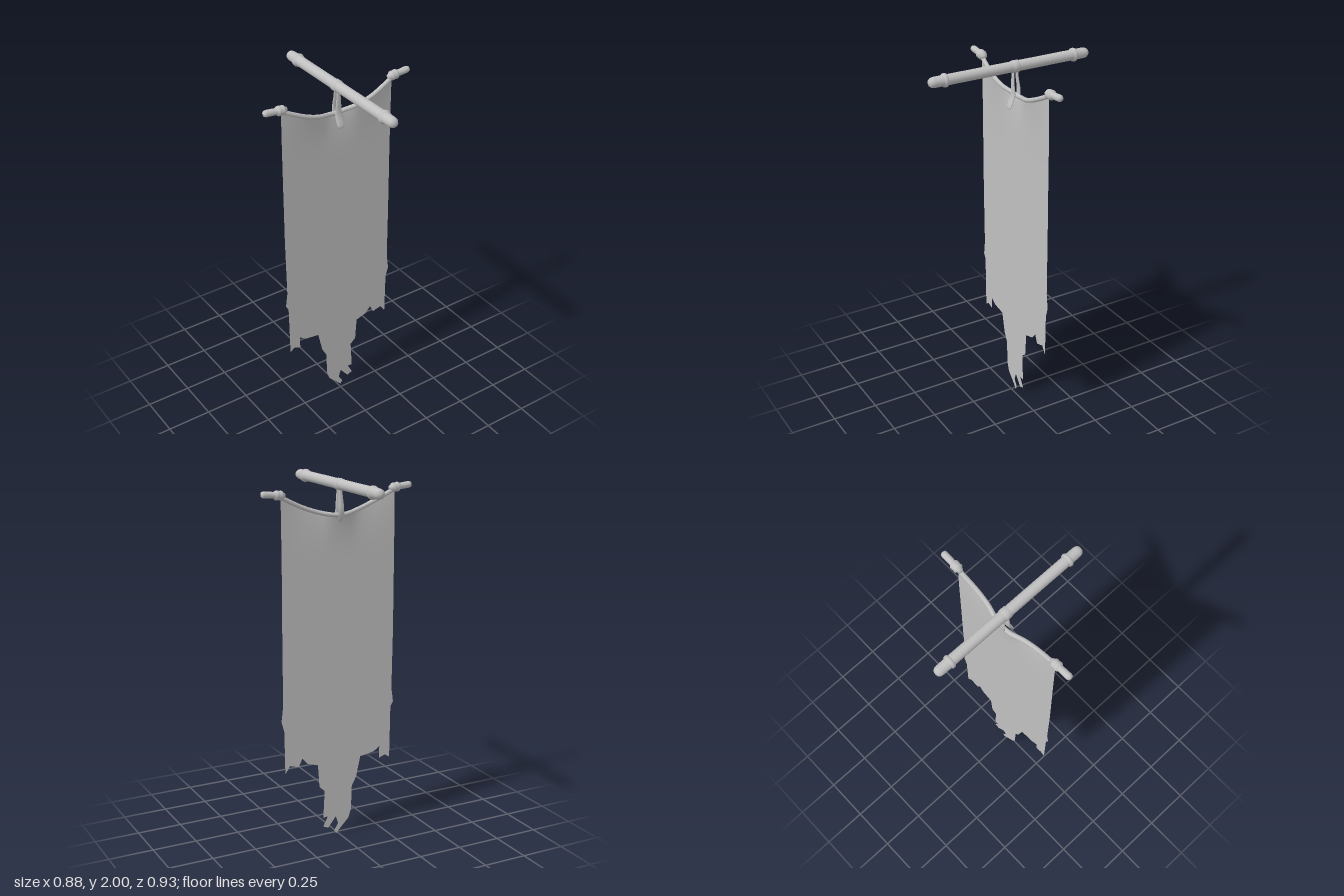
import * as THREE from 'three';

const V2 = (a) => a.map(([x, y]) => new THREE.Vector2(x, y));

export function createModel() {
  const group = new THREE.Group();
  const grey = new THREE.MeshStandardMaterial({ color: 0xc0c0c0, side: THREE.DoubleSide });
  grey.name = 'plain grey';

  function add(name, geometry) {
    const mesh = new THREE.Mesh(geometry, grey);
    mesh.name = name;
    group.add(mesh);
    return mesh;
  }

  // Height and depth of the sagging top hem, by x
  const hemY = (x) => 1.806 + 0.115 * Math.pow(Math.min(1, Math.abs(x) / 0.335), 1.7);
  const hemCurve = new THREE.CatmullRomCurve3(
    [[0, -0.036], [0.05, -0.033], [0.12, -0.016], [0.2, -0.01], [0.28, -0.014], [0.34, -0.02]]
      .flatMap(([x, z], i) => (i ? [[-x, z], [x, z]] : [[x, z]]))
      .sort((a, b) => a[0] - b[0])
      .map(([x, z]) => new THREE.Vector3(x, hemY(x), z)));
  add('topHem', new THREE.TubeGeometry(hemCurve, 64, 0.012, 12));

  // Depth of the hem found by interpolating along its curve
  const samples = hemCurve.getPoints(200);
  function hemZ(x) {
    const i = samples.findIndex((p) => p.x >= x);
    return samples[i < 0 ? samples.length - 1 : i].z;
  }

  // Upper cloth: a grid that blends from the hem into the flat sheet
  const flatZ = -0.022;
  const seam = 1.5;
  const upper = new THREE.PlaneGeometry(1, 1, 40, 24);
  const pos = upper.attributes.position;
  for (let i = 0; i < pos.count; i++) {
    const u = pos.getX(i) + 0.5;
    const t = pos.getY(i) + 0.5;
    const x = THREE.MathUtils.lerp(-0.339, 0.331, u);
    const y = THREE.MathUtils.lerp(seam, hemY(x), t);
    pos.setXYZ(i, x, y, THREE.MathUtils.lerp(flatZ, hemZ(x), t * t * t));
  }
  upper.computeVertexNormals();
  add('upperCloth', upper);

  // Lower cloth with frayed sides and a torn tail
  const torn = V2([
    [-0.339, seam], [-0.339, 1.15], [-0.334, 0.81], [-0.345, 0.73], [-0.329, 0.7], [-0.325, 0.402],
    [-0.296, 0.42], [-0.26, 0.406], [-0.26, 0.476], [-0.222, 0.45], [-0.138, 0.438], [-0.112, 0.32],
    [-0.085, 0.27], [-0.08, 0.13], [-0.063, 0.08], [-0.022, 0.04], [0.014, 0], [0.026, 0.022],
    [0.002, 0.062], [0.016, 0.105], [0.064, 0.045], [0.096, 0.058], [0.066, 0.115], [0.095, 0.11],
    [0.086, 0.27], [0.118, 0.3], [0.127, 0.43], [0.19, 0.45], [0.222, 0.487], [0.243, 0.44],
    [0.296, 0.456], [0.325, 0.413], [0.328, 0.656], [0.344, 0.715], [0.333, 0.8], [0.333, 1.13],
    [0.331, seam],
  ]);
  add('tornCloth', new THREE.ShapeGeometry(new THREE.Shape(torn))).position.z = flatZ;

  // Round pole running front to back, with a collar and rounded tip at each end
  const halfPole = [
    [0.028, 0], [0.028, 0.364], [0.034, 0.367], [0.036, 0.376], [0.034, 0.385], [0.028, 0.389],
    [0.028, 0.435], [0.025, 0.45], [0.017, 0.461], [0, 0.465],
  ];
  const polePoints = [...halfPole.slice(1).reverse().map(([r, y]) => [r, -y]), ...halfPole];
  const pole = add('pole', new THREE.LatheGeometry(V2(polePoints), 24));
  pole.rotation.x = Math.PI / 2;
  pole.position.set(-0.006, 1.964, 0);

  // Slightly raised crossbar ends with double collars
  const finial = V2([
    [0, -0.012], [0.014, -0.008], [0.018, 0.004], [0.024, 0.008], [0.026, 0.016], [0.023, 0.023],
    [0.025, 0.03], [0.026, 0.04], [0.022, 0.047], [0.017, 0.052], [0.018, 0.08],
    [0.018, 0.11], [0.014, 0.12], [0, 0.125],
  ]);
  for (const side of [-1, 1]) {
    const end = add(side > 0 ? 'leftCrossbarEnd' : 'rightCrossbarEnd', new THREE.LatheGeometry(finial, 18));
    end.rotation.z = -side * (Math.PI / 2 - 0.1);
    end.position.set(side * 0.317, 1.925, -0.019);
  }

  // Strap wrapped round the pole
  const wrap = add('poleWrap', new THREE.LatheGeometry(V2([
    [0.026, -0.02], [0.031, -0.018], [0.032, 0], [0.031, 0.018], [0.026, 0.02],
  ]), 24));
  wrap.rotation.x = Math.PI / 2;
  wrap.position.set(-0.006, 1.964, -0.025);

  // Strap strands lofted through oval sections: [y, z, halfWidth, halfDepth]
  function strand(name, sections) {
    const n = 14;
    const verts = [];
    const index = [];
    sections.forEach(([y, z, w, d], j) => {
      for (let i = 0; i < n; i++) {
        const a = (i / n) * Math.PI * 2;
        verts.push(-0.004 + w * Math.cos(a), y, z + d * Math.sin(a));
        if (j) {
          const k = (i + 1) % n;
          const p = (j - 1) * n;
          const q = j * n;
          index.push(p + i, p + k, q + i, p + k, q + k, q + i);
        }
      }
    });
    const g = new THREE.BufferGeometry();
    g.setAttribute('position', new THREE.Float32BufferAttribute(verts, 3));
    // Sections run downward, so reverse the winding to face outward
    g.setIndex(index.reverse());
    g.computeVertexNormals();
    // Keep the outward sense consistent with the section order
    const nrm = g.attributes.normal;
    if (nrm.getX(n) < 0) {
      g.setIndex(index.reverse());
      g.computeVertexNormals();
    }
    add(name, g);
  }
  strand('frontStrap', [
    [1.945, -0.014, 0.011, 0.006], [1.9, -0.012, 0.013, 0.006], [1.85, -0.012, 0.017, 0.006],
    [1.815, -0.014, 0.02, 0.007], [1.78, 0, 0.023, 0.007], [1.755, 0.01, 0.022, 0.007],
    [1.743, 0.012, 0.016, 0.005], [1.738, 0.013, 0.001, 0.001],
  ]);
  strand('backStrap', [
    [1.945, -0.034, 0.011, 0.006], [1.9, -0.038, 0.013, 0.006], [1.85, -0.046, 0.016, 0.006],
    [1.81, -0.045, 0.018, 0.006], [1.78, -0.036, 0.016, 0.005], [1.765, -0.03, 0.001, 0.001],
  ]);

  return group;
}
